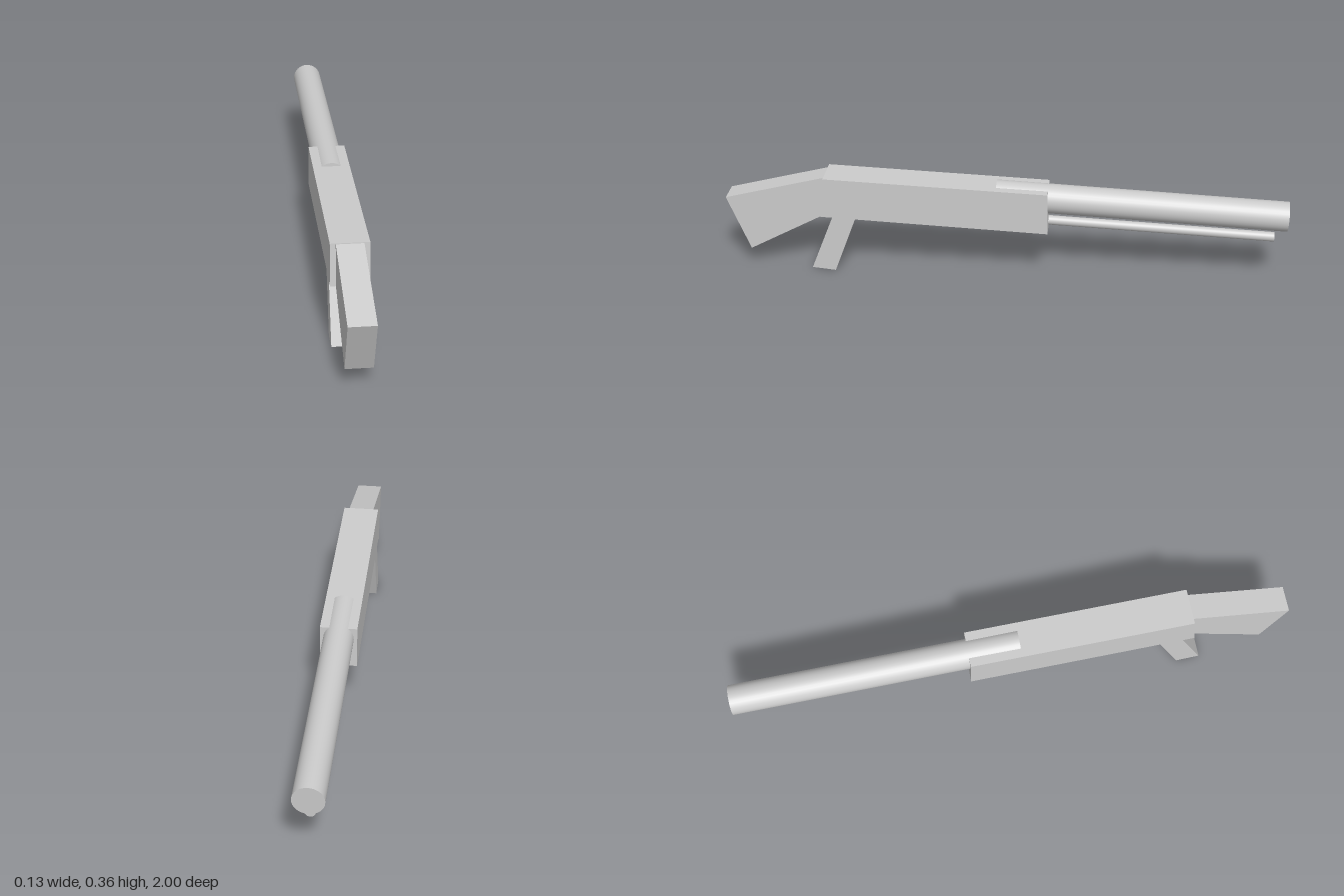
import * as THREE from 'three';

const material = new THREE.MeshStandardMaterial({ color: 0xcccccc });

// Side profile given as [z, y] points, extruded across x.
function sidePart(name, points, width) {
  const shape = new THREE.Shape(points.map(([z, y]) => new THREE.Vector2(-z, y)));
  const geometry = new THREE.ExtrudeGeometry(shape, { depth: width, bevelEnabled: false });
  geometry.translate(0, 0, -width / 2);
  geometry.rotateY(Math.PI / 2);
  const mesh = new THREE.Mesh(geometry, material);
  mesh.name = name;
  return mesh;
}

// Capped round tube between two [z, y] points on the centre plane.
function roundPart(name, from, to, radius) {
  const a = new THREE.Vector3(0, from[1], from[0]);
  const b = new THREE.Vector3(0, to[1], to[0]);
  const direction = b.clone().sub(a);
  const geometry = new THREE.CylinderGeometry(radius, radius, direction.length(), 32);
  const mesh = new THREE.Mesh(geometry, material);
  mesh.position.copy(a).add(b).multiplyScalar(0.5);
  mesh.quaternion.setFromUnitVectors(new THREE.Vector3(0, 1, 0), direction.normalize());
  mesh.name = name;
  return mesh;
}

export function createModel() {
  const group = new THREE.Group();
  group.add(
    // Long boxy body, tilting slightly down toward the muzzle
    sidePart('receiver', [[0.64, 0.36], [-0.155, 0.331], [-0.157, 0.179], [0.53, 0.207], [0.654, 0.212]], 0.13),
    // Narrower shoulder stock
    sidePart('stock', [[0.62, 0.357], [0.64, 0.357], [0.998, 0.266], [0.917, 0.066], [0.648, 0.21], [0.62, 0.225]], 0.092),
    // Slanted grip below the body
    sidePart('grip', [[0.609, 0.225], [0.613, 0.208], [0.692, 0.008], [0.608, 0], [0.53, 0.207], [0.523, 0.225]], 0.13),
    // Barrel partly sunk into the top of the body
    roundPart('barrel', [0.03, 0.297], [-0.998, 0.254], 0.053),
    roundPart('magazineTube', [-0.1, 0.207], [-0.955, 0.173], 0.017),
  );
  return group;
}
